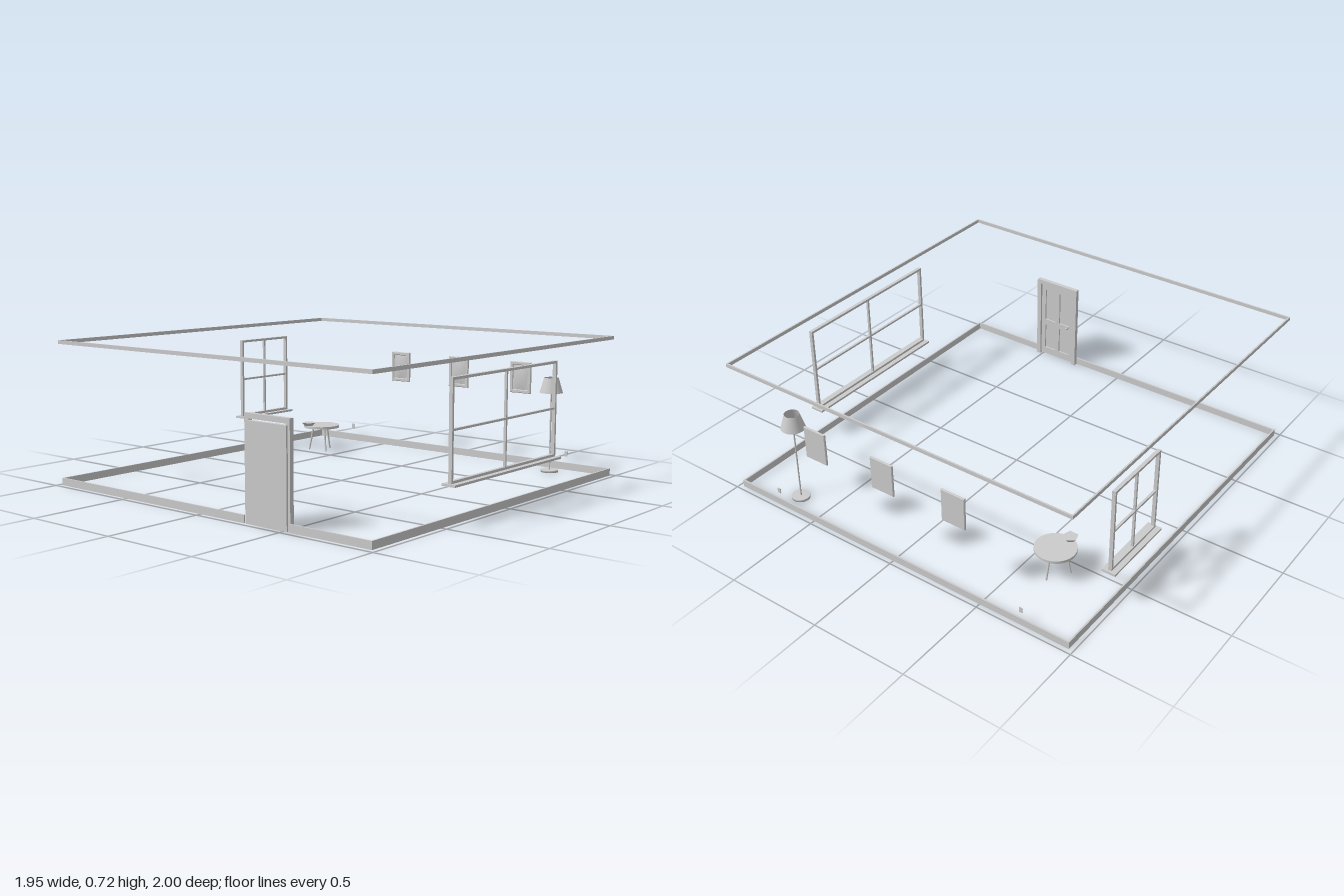
import * as THREE from 'three';

const grey = new THREE.MeshStandardMaterial({ color: 0xcccccc });
const greyOpen = new THREE.MeshStandardMaterial({ color: 0xcccccc, side: THREE.DoubleSide });
const W = 0.977; // half width of the room

function add(parent, name, geometry, x = 0, y = 0, z = 0, material = grey) {
  const mesh = new THREE.Mesh(geometry, material);
  mesh.name = name;
  mesh.position.set(x, y, z);
  parent.add(mesh);
  return mesh;
}

// Box given by its limits on each axis
function block(parent, name, [x0, x1], [y0, y1], [z0, z1]) {
  return add(parent, name, new THREE.BoxGeometry(x1 - x0, y1 - y0, z1 - z0),
    (x0 + x1) / 2, (y0 + y1) / 2, (z0 + z1) / 2);
}

function group(parent, name) {
  const g = new THREE.Group();
  g.name = name;
  parent.add(g);
  return g;
}

// Trim strip round the room, with an optional gap in the -x wall
function trim(parent, name, y, t, gap) {
  const g = group(parent, name);
  block(g, name + 'Front', [-W, W], y, [W - t, W]);
  block(g, name + 'Back', [-W, W], y, [-W, -W + t]);
  block(g, name + 'Left', [W - t, W], y, [-W + t, W - t]);
  const runs = gap ? [[-W + t, gap[0]], [gap[1], W - t]] : [[-W + t, W - t]];
  for (const run of runs) block(g, name + 'Right', [-W, -W + t], y, run);
}

// Four-pane window with a deep sill
function windowFrame(parent, name, [x0, x1], [y0, y1], z, sillX, sillZ) {
  const g = group(parent, name);
  const t = 0.012, xm = (x0 + x1) / 2, ym = 0.41;
  const depth = [z - 0.009, z + 0.009], thin = [z - 0.006, z + 0.006];
  for (const x of [x0, x1 - t]) block(g, 'windowJamb', [x, x + t], [y0, y1], depth);
  for (const y of [y0, y1 - t]) block(g, 'windowRail', [x0 + t, x1 - t], [y, y + t], depth);
  block(g, 'mullion', [xm - 0.005, xm + 0.005], [y0 + t, y1 - t], thin);
  block(g, 'transom', [x0 + t, x1 - t], [ym - 0.005, ym + 0.005], thin);
  block(g, 'windowSill', sillX, [y0 - 0.011, y0], sillZ);
}

function buildDoor(parent) {
  const g = group(parent, 'door');
  const z0 = 0.272, z1 = 0.534, c = 0.024;
  const casing = [-0.968, -0.946];
  block(g, 'casingSide', casing, [0, 0.482], [z0, z0 + c]);
  block(g, 'casingSide', casing, [0, 0.482], [z1 - c, z1]);
  block(g, 'casingHeader', casing, [0.458, 0.482], [z0 + c, z1 - c]);
  block(g, 'doorLeaf', [-W, -0.967], [0, 0.452], [z0 + 0.012, z1 - 0.012]);
  // Stiles and rails standing proud around four sunken panels
  const face = [-0.967, -0.958], a = z0 + c, b = z1 - c, m = (a + b) / 2, s = 0.025;
  for (const z of [[a, a + s], [m - s / 2, m + s / 2], [b - s, b]]) {
    block(g, 'doorStile', face, [0.005, 0.452], z);
  }
  for (const y of [[0.005, 0.045], [0.195, 0.23], [0.42, 0.452]]) {
    block(g, 'doorRail', face, y, [a + s, m - s / 2]);
    block(g, 'doorRail', face, y, [m + s / 2, b - s]);
  }
  const stem = add(g, 'knobStem', new THREE.CylinderGeometry(0.003, 0.003, 0.02, 10), -0.95, 0.227, 0.327);
  stem.rotation.z = Math.PI / 2;
  add(g, 'knob', new THREE.SphereGeometry(0.007, 14, 10), -0.941, 0.227, 0.327);
}

function buildTable(parent) {
  const g = group(parent, 'sideTable');
  g.position.set(0.6, 0, -0.65);
  add(g, 'tableTop', new THREE.CylinderGeometry(0.1, 0.1, 0.014, 48), 0, 0.138, 0);
  const up = new THREE.Vector3(0, 1, 0);
  for (let i = 0; i < 3; i++) {
    const angle = i * Math.PI * 2 / 3;
    const top = new THREE.Vector3(0.046 * Math.cos(angle), 0.132, 0.046 * Math.sin(angle));
    const foot = new THREE.Vector3(0.072 * Math.cos(angle), 0, 0.072 * Math.sin(angle));
    const dir = top.clone().sub(foot);
    const mid = top.clone().add(foot).multiplyScalar(0.5);
    const leg = add(g, 'tableLeg', new THREE.CylinderGeometry(0.006, 0.004, dir.length(), 12), mid.x, mid.y, mid.z);
    leg.quaternion.setFromUnitVectors(up, dir.normalize());
  }
  // Small faceted dish near the rim
  const dishMaterial = grey.clone();
  dishMaterial.flatShading = true;
  const dish = add(g, 'dish', new THREE.CylinderGeometry(0.039, 0.022, 0.018, 5), -0.083, 0.155, -0.024, dishMaterial);
  dish.rotation.y = Math.PI / 2;
}

function buildLamp(parent) {
  const g = group(parent, 'floorLamp');
  g.position.set(0.872, 0, 0.684);
  const base = [[0, 0], [0.046, 0], [0.046, 0.01], [0.044, 0.012], [0, 0.012]];
  add(g, 'lampBase', new THREE.LatheGeometry(base.map(p => new THREE.Vector2(...p)), 36));
  add(g, 'lampPole', new THREE.CylinderGeometry(0.004, 0.004, 0.42, 12), 0, 0.22, 0);
  add(g, 'bulb', new THREE.SphereGeometry(0.014, 16, 12), 0, 0.44, 0);
  add(g, 'lampShade', new THREE.CylinderGeometry(0.037, 0.06, 0.078, 40, 1, true), 0, 0.454, 0, greyOpen);
}

function rect(Type, w, h) {
  return new Type([[-w, -h], [w, -h], [w, h], [-w, h]].map(p => new THREE.Vector2(p[0] / 2, p[1] / 2)));
}

// Picture with a bevelled frame and a slightly raised canvas
function buildPicture(parent, z) {
  const g = group(parent, 'wallPicture');
  g.position.set(W, 0.466, z);
  g.rotation.y = -Math.PI / 2;
  const shape = rect(THREE.Shape, 0.122, 0.162);
  shape.holes.push(rect(THREE.Path, 0.098, 0.138));
  const frame = new THREE.ExtrudeGeometry(shape, {
    depth: 0.007, bevelEnabled: true, bevelThickness: 0.003, bevelSize: 0.003, bevelSegments: 1,
  });
  add(g, 'pictureFrame', frame, 0, 0, 0.004);
  add(g, 'pictureBacking', new THREE.BoxGeometry(0.122, 0.164, 0.004), 0, 0, 0.003);
  const canvas = new THREE.PlaneGeometry(0.1, 0.14, 14, 18);
  const p = canvas.attributes.position;
  for (let i = 0; i < p.count; i++) {
    const u = p.getX(i) / 0.05, v = p.getY(i) / 0.07;
    p.setZ(i, 0.008 * Math.max(0, 1 - u * u) * Math.max(0, 1 - v * v));
  }
  canvas.computeVertexNormals();
  add(g, 'pictureCanvas', canvas, 0, 0, 0.007, greyOpen);
}

function buildOutlet(parent, z) {
  const g = group(parent, 'wallOutlet');
  block(g, 'outletPlate', [0.971, 0.975], [0.07, 0.097], [z - 0.009, z + 0.009]);
  for (const y of [0.078, 0.089]) block(g, 'outletSocket', [0.97, 0.972], [y - 0.003, y + 0.003], [z - 0.004, z + 0.004]);
}

export function createModel() {
  const model = new THREE.Group();
  model.name = 'room';
  trim(model, 'baseboard', [0, 0.037], 0.008, [0.272, 0.534]);
  trim(model, 'crownMoulding', [0.7, 0.718], 0.008);
  windowFrame(model, 'frontWindow', [-0.43, 0.43], [0.178, 0.637], 0.965, [-0.441, 0.441], [0.93, 1]);
  windowFrame(model, 'backWindow', [0.275, 0.647], [0.2, 0.63], -0.965, [0.263, 0.66], [-1, -0.93]);
  buildDoor(model);
  buildTable(model);
  buildLamp(model);
  for (const z of [0.438, 0.037, -0.365]) buildPicture(model, z);
  for (const z of [0.723, -0.723]) buildOutlet(model, z);
  return model;
}
